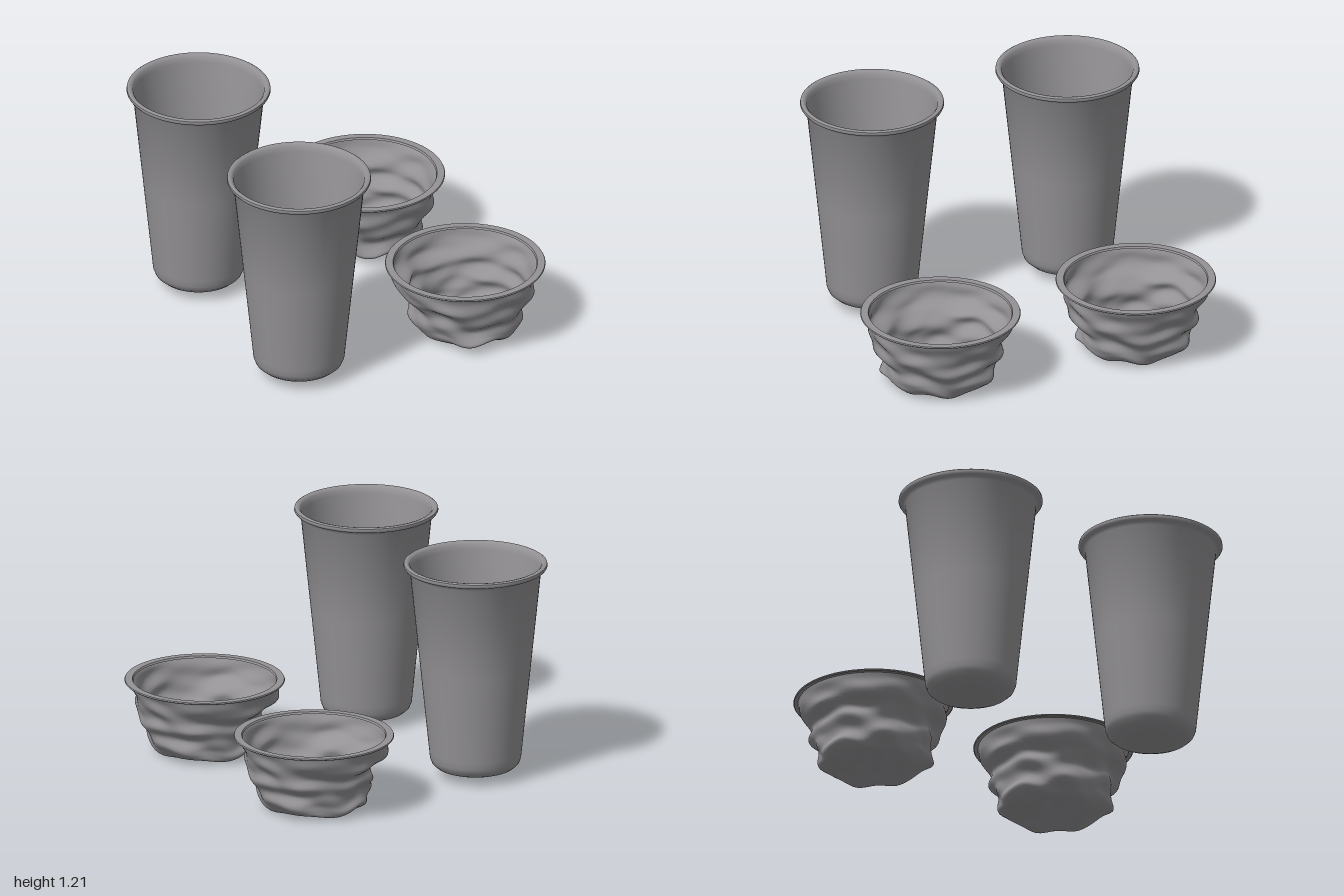
import * as THREE from 'three';
import { mergeVertices, toCreasedNormals } from 'three/addons/utils/BufferGeometryUtils.js';

const v2 = ([x, y]) => new THREE.Vector2(x, y);

// Thin tapered cup with rounded base and rolled lip
function cupGeometry() {
  const profile = [
    [0, 0.04], [0.135, 0.04], [0.175, 0.047], [0.21, 0.06], [0.235, 0.082], [0.246, 0.11], [0.25, 0.15],
    [0.3, 0.64], [0.354, 1.165], [0.365, 1.18], [0.383, 1.187], [0.389, 1.197], [0.387, 1.209],
    [0.378, 1.215], [0.364, 1.212], [0.354, 1.2], [0.348, 1.17], [0.294, 0.64], [0.243, 0.13], [0.238, 0.09],
    [0.225, 0.075], [0.2, 0.07], [0, 0.07],
  ].map(v2);
  return toCreasedNormals(new THREE.LatheGeometry(profile, 72), 0.8);
}

// Crumpled bowl: four different side profiles blended around the axis, plus folds
function crumpledGeometry() {
  const heights = [0.03, 0.025, 0.02, 0.025, 0.06, 0.1, 0.15, 0.2, 0.25, 0.3, 0.37, 0.405];
  const sides = [
    [0, 0.09, 0.17, 0.23, 0.31, 0.31, 0.31, 0.35, 0.375, 0.385, 0.395, 0.41], // front
    [0, 0.1, 0.19, 0.25, 0.285, 0.315, 0.315, 0.35, 0.355, 0.365, 0.395, 0.41], // left
    [0, 0.1, 0.2, 0.275, 0.308, 0.3, 0.3, 0.335, 0.325, 0.38, 0.4, 0.41], // back
    [0, 0.08, 0.16, 0.225, 0.27, 0.295, 0.3, 0.295, 0.325, 0.385, 0.4, 0.41], // right
  ].map((radii) => new THREE.SplineCurve(radii.map((r, i) => v2([r, heights[i]]))));

  const rows = 55, segments = 96;
  const blank = Array.from({ length: rows + 1 }, (_, j) => v2([j / rows, 0]));
  let geometry = new THREE.LatheGeometry(blank, segments);
  const position = geometry.attributes.position;
  const point = new THREE.Vector2();
  for (let i = 0; i <= segments; i++) {
    const a = ((i % segments) / segments) * Math.PI * 2;
    for (let j = 0; j <= rows; j++) {
      const t = j / rows;
      let r = 0, y = 0;
      sides.forEach((curve, k) => {
        const weight = Math.max(0, Math.cos(a - k * Math.PI / 2)) ** 2;
        curve.getPoint(t, point);
        r += point.x * weight;
        y += point.y * weight;
      });
      // Folds fade out at the lip and at the centre of the floor
      const wall = THREE.MathUtils.smoothstep(t, 0.15, 0.35) * (1 - THREE.MathUtils.smoothstep(t, 0.8, 0.98));
      const floor = 1 - THREE.MathUtils.smoothstep(t, 0.3, 0.55);
      r += wall * (0.008 * Math.sin(5 * a + 34 * y + 1) + 0.006 * Math.sin(3 * a - 52 * y)
        + 0.004 * Math.sin(9 * a + 45 * y + 2));
      const x = r * Math.sin(a), z = r * Math.cos(a);
      y += floor * (0.007 * Math.sin(21 * x + 9 * z) + 0.006 * Math.sin(24 * z - 12 * x + 1));
      y += wall * 0.006 * Math.sin(7 * a + 1.5);
      position.setXYZ(i * (rows + 1) + j, x, Math.max(0, y), z);
    }
  }
  geometry.deleteAttribute('uv');
  geometry.deleteAttribute('normal');
  geometry = mergeVertices(geometry, 1e-5);
  geometry.computeVertexNormals();
  return geometry;
}

// Flat ring around the mouth of the bowl
function bowlRimGeometry() {
  const profile = [[0.385, 0.4], [0.428, 0.4], [0.433, 0.405], [0.43, 0.411], [0.39, 0.411], [0.385, 0.4]].map(v2);
  return toCreasedNormals(new THREE.LatheGeometry(profile, 72), 0.6);
}

export function createModel() {
  const model = new THREE.Group();
  model.name = 'cupsAndBowls';
  const grey = new THREE.MeshStandardMaterial({ color: 0x949295 });
  grey.name = 'grey';
  const sheet = new THREE.MeshStandardMaterial({ color: 0x949295, side: THREE.DoubleSide });
  sheet.name = 'greySheet';

  const cupShape = cupGeometry(), bowlShape = crumpledGeometry(), rimShape = bowlRimGeometry();
  for (const [z, place] of [[0.565, 'front'], [-0.565, 'back']]) {
    const cup = new THREE.Mesh(cupShape, grey);
    cup.name = place + 'Cup';
    cup.position.set(-0.535, 0, z);

    const bowl = new THREE.Group();
    bowl.name = place + 'CrumpledBowl';
    bowl.position.set(0.487, 0, z);
    const body = new THREE.Mesh(bowlShape, sheet);
    body.name = 'bowlBody';
    const rim = new THREE.Mesh(rimShape, grey);
    rim.name = 'bowlRim';
    bowl.add(body, rim);
    model.add(cup, bowl);
  }
  return model;
}
